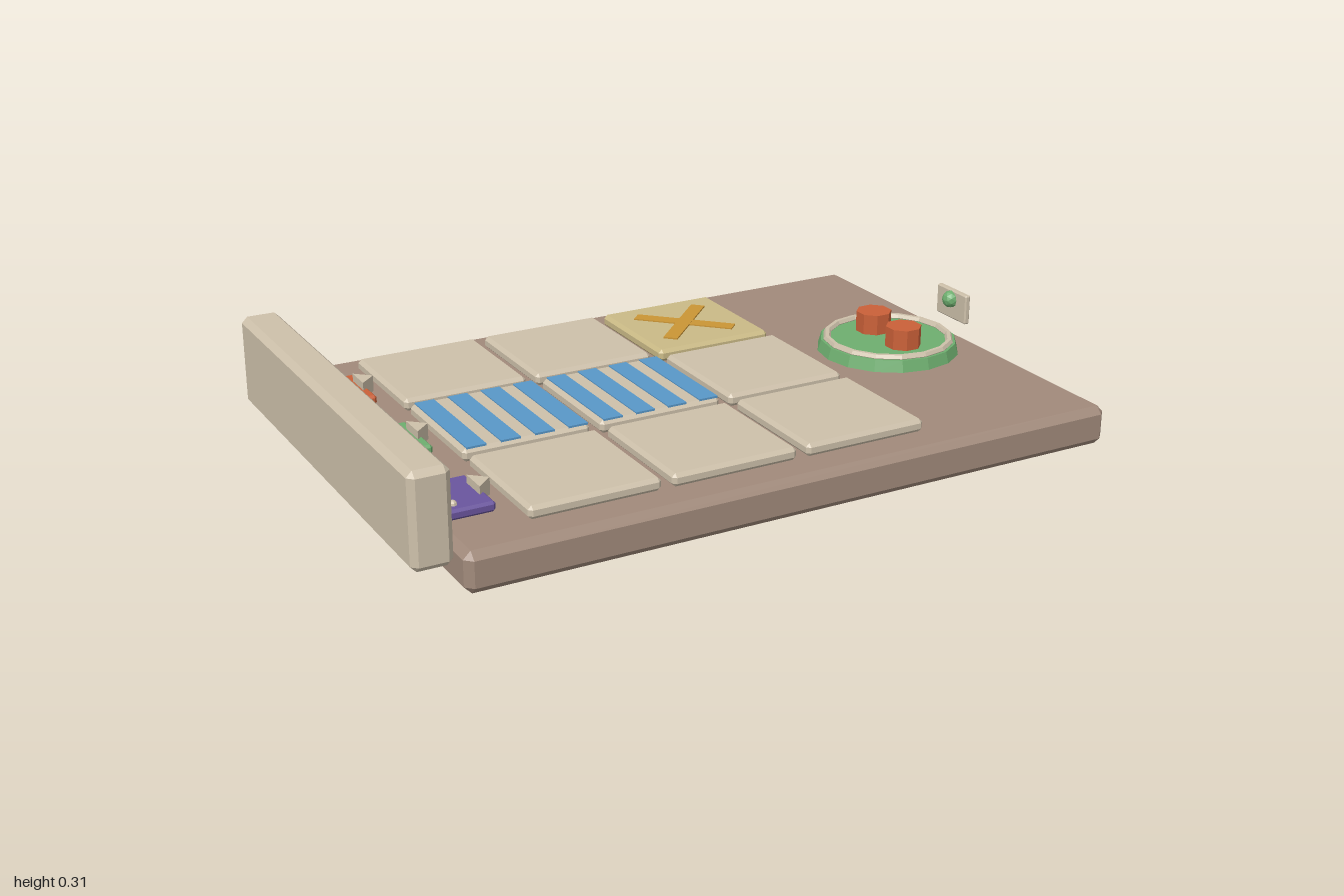
import * as THREE from 'three';
import { ConvexGeometry } from 'three/addons/geometries/ConvexGeometry.js';

const material = (name, color) => {
  const m = new THREE.MeshStandardMaterial({ color });
  m.name = name;
  m.flatShading = true;
  return m;
};

// Box with every edge cut off by c
function chamferBox(w, h, d, c) {
  const pts = [];
  for (const x of [-1, 1]) for (const y of [-1, 1]) for (const z of [-1, 1]) {
    const [X, Y, Z] = [x * w / 2, y * h / 2, z * d / 2];
    pts.push(
      new THREE.Vector3(X, Y - y * c, Z - z * c),
      new THREE.Vector3(X - x * c, Y, Z - z * c),
      new THREE.Vector3(X - x * c, Y - y * c, Z));
  }
  return new ConvexGeometry(pts);
}

export function createModel() {
  const cream = material('cream', 0xcdc0aa);
  const brown = material('brown', 0xa18a7b);
  const green = material('green', 0x6eae6f);
  const red = material('orange red', 0xca6038);
  const purple = material('purple', 0x6a559e);
  const blue = material('blue', 0x5897c8);
  const dark = material('dark slate', 0x4b4559);
  const grey = material('slat grey', 0x86849a);
  const gold = material('gold', 0xca9535);
  const sand = material('sand', 0xcaba86);

  const model = new THREE.Group();
  model.name = 'boardGame';
  const add = (name, geo, mat, x, y, z, parent = model) => {
    const mesh = new THREE.Mesh(geo, mat);
    mesh.name = name;
    mesh.position.set(x, y, z);
    parent.add(mesh);
    return mesh;
  };

  // Board and the upright wall at its left end
  add('base', chamferBox(1.885, 0.11, 1.33, 0.02), brown, 0.0525, 0.055, 0);
  add('wall', chamferBox(0.108, 0.255, 1.22, 0.016), cream, -0.946, 0.1875, 0);

  // Three by three grid of tiles
  const tileGeo = chamferBox(0.36, 0.036, 0.36, 0.01);
  const stripeGeo = new THREE.BoxGeometry(0.056, 0.006, 0.345);
  const barGeo = new THREE.BoxGeometry(0.3, 0.006, 0.042);
  for (let col = 0; col < 3; col++) for (let row = 0; row < 3; row++) {
    const tile = new THREE.Group();
    tile.name = 'tile';
    tile.position.set(-0.505 + col * 0.39, 0, (row - 1) * 0.39);
    model.add(tile);
    const marked = col === 2 && row === 0;
    add('slab', tileGeo, marked ? sand : cream, 0, 0.128, 0, tile);
    if (row === 1 && col < 2) {
      for (let i = 0; i < 4; i++) add('stripe', stripeGeo, blue, -0.14 + i * 0.096, 0.146, 0, tile);
    }
    if (marked) {
      for (const s of [-1, 1]) {
        add('crossBar', barGeo, gold, 0, 0.147 + s * 0.0005, 0, tile).rotation.y = s * Math.PI / 4;
      }
    }
  }

  // Coloured start pads, each with counting studs, an arrow and a shutter behind
  const padGeo = chamferBox(0.14, 0.028, 0.185, 0.007);
  const studGeo = new THREE.SphereGeometry(0.012, 8, 6);
  const arrowShape = new THREE.Shape();
  arrowShape.moveTo(-0.022, -0.04);
  arrowShape.lineTo(0.022, 0);
  arrowShape.lineTo(-0.022, 0.04);
  const arrowGeo = new THREE.ExtrudeGeometry(arrowShape, { depth: 0.045, bevelEnabled: false });
  arrowGeo.rotateX(-Math.PI / 2);
  const shutterGeo = new THREE.BoxGeometry(0.012, 0.125, 0.225);
  const slatGeo = new THREE.BoxGeometry(0.01, 0.014, 0.205);
  [red, green, purple].forEach((padMat, i) => {
    const lane = new THREE.Group();
    lane.name = 'startLane';
    lane.position.z = (i - 1) * 0.39;
    model.add(lane);
    add('pad', padGeo, padMat, -0.8, 0.124, 0, lane);
    for (let k = 0; k <= i; k++) add('stud', studGeo, cream, -0.83, 0.138, (k - i / 2) * 0.06, lane);
    add('arrow', arrowGeo, cream, -0.728, 0.115, 0, lane);
    add('shutter', shutterGeo, dark, -0.888, 0.206, 0, lane);
    for (let k = 0; k < 3; k++) {
      add('slat', slatGeo, grey, -0.879, 0.151 + k * 0.047, 0, lane).rotation.z = 0.3;
    }
  });

  // Round goal with a rim and two pegs
  const goal = new THREE.Group();
  goal.name = 'goal';
  goal.position.x = 0.735;
  model.add(goal);
  add('disc', new THREE.CylinderGeometry(0.197, 0.207, 0.036, 16), green, 0, 0.125, 0, goal);
  const rim = new THREE.TorusGeometry(0.179, 0.011, 6, 16);
  rim.rotateX(Math.PI / 2);
  add('rim', rim, cream, 0, 0.145, 0, goal);
  const pegGeo = new THREE.CylinderGeometry(0.052, 0.052, 0.065, 8);
  pegGeo.rotateY(Math.PI / 8);
  for (const s of [-1, 1]) add('peg', pegGeo, red, 0, 0.17, s * 0.075, goal);

  // Floating sign with a round bead
  add('sign', chamferBox(0.018, 0.088, 0.14, 0.004), cream, 0.966, 0.208, 0);
  add('signBead', new THREE.IcosahedronGeometry(0.026, 1), green, 0.956, 0.224, 0);

  return model;
}
